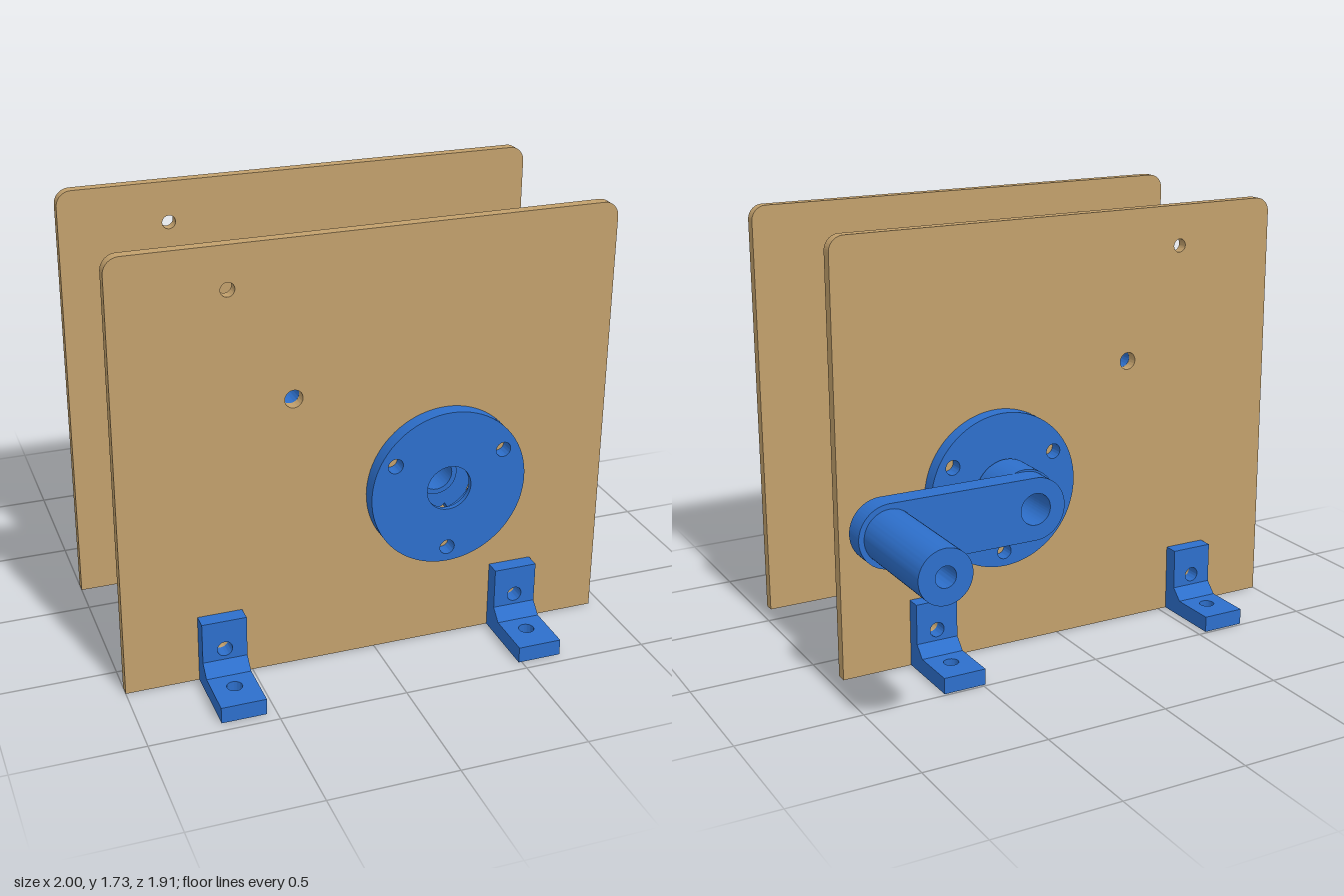
import * as THREE from 'three';
import { toCreasedNormals } from 'three/addons/utils/BufferGeometryUtils.js';

export function createModel() {
  const model = new THREE.Group();
  const blue = new THREE.MeshStandardMaterial({ color: 0x2d6fcb });
  blue.name = 'bluePlastic';
  const tan = new THREE.MeshStandardMaterial({ color: 0xc2a06c });
  tan.name = 'tanWood';

  const axleX = 0.275, axleY = 0.68;      // drive axis
  const pivotX = -0.325, pivotY = 1.115;  // pawl axis
  const midZ = 0.2325;                    // symmetry plane between the plates

  // ---- helpers ----
  const hole = (shape, x, y, r) => {
    shape.holes.push(new THREE.Path().absarc(x, y, r, 0, Math.PI * 2, true));
    return shape;
  };
  const disc = (x, y, r) => new THREE.Shape().absarc(x, y, r, 0, Math.PI * 2, false);
  const ring = (x, y, r, inner) => hole(disc(x, y, r), x, y, inner);
  const polygon = (pts) => new THREE.Shape(pts.map(([x, y]) => new THREE.Vector2(x, y)));

  // extrudes an xy outline between two z values
  const slabGeometry = (shape, z0, z1) => {
    const g = new THREE.ExtrudeGeometry(shape, { depth: z1 - z0, bevelEnabled: false, curveSegments: 40 });
    g.translate(0, 0, z0);
    return toCreasedNormals(g, 0.45);
  };
  const add = (name, geometry, material, parent = model) => {
    const mesh = new THREE.Mesh(geometry, material);
    mesh.name = name;
    parent.add(mesh);
    return mesh;
  };
  const slab = (name, shape, z0, z1, material, parent) =>
    add(name, slabGeometry(shape, z0, z1), material, parent);

  // ---- side plates, bearing flanges and feet: front set, then its mirror ----
  const plateShape = () => {
    const r = 0.06, l = -1, w = 0.95, h = 1.73;
    const s = new THREE.Shape();
    s.moveTo(l, 0);
    s.lineTo(w, 0);
    s.lineTo(w, h - r);
    s.absarc(w - r, h - r, r, 0, Math.PI / 2, false);
    s.lineTo(l + r, h);
    s.absarc(l + r, h - r, r, Math.PI / 2, Math.PI, false);
    s.closePath();
    hole(s, -0.565, 1.565, 0.027);
    hole(s, pivotX, pivotY, 0.035);
    hole(s, axleX, axleY, 0.17);
    for (const x of [-0.625, 0.575]) hole(s, x, 0.155, 0.03);
    return s;
  };
  const flangeShape = () => {
    const s = ring(axleX, axleY, 0.315, 0.155);
    for (const a of [30, 150, 270]) {
      const t = THREE.MathUtils.degToRad(a);
      hole(s, axleX + 0.255 * Math.cos(t), axleY + 0.255 * Math.sin(t), 0.03);
    }
    return s;
  };
  const flangeCapShape = () => {
    const s = flangeShape();
    s.holes[0] = new THREE.Path().absarc(axleX, axleY, 0.09, 0, Math.PI * 2, true);
    return s;
  };

  const sideZ = (side, a, b) => {
    const p = midZ + side * a, q = midZ + side * b;
    return [Math.min(p, q), Math.max(p, q)];
  };
  for (const [side, label] of [[1, 'front'], [-1, 'back']]) {
    const set = new THREE.Group();
    set.name = label + 'Side';
    model.add(set);
    slab(label + 'Plate', plateShape(), ...sideZ(side, 0.378, 0.4225), tan, set);
    // flange with a hollow bearing seat
    slab('flangeBody', flangeShape(), ...sideZ(side, 0.4225, 0.462), blue, set);
    slab('flangeCap', flangeCapShape(), ...sideZ(side, 0.462, 0.4825), blue, set);
    slab('bearingCollar', ring(axleX, axleY, 0.195, 0.155), ...sideZ(side, 0.363, 0.378), blue, set);
    slab('bearingSeat', ring(axleX, axleY, 0.17, 0.155), ...sideZ(side, 0.378, 0.4225), blue, set);

    // angle brackets
    for (const x of [-0.625, 0.575]) {
      const bracket = new THREE.Group();
      bracket.name = 'bracket';
      set.add(bracket);
      const w = 0.0875;
      const wall = polygon([[x - w, 0], [x + w, 0], [x + w, 0.275], [x - w, 0.275]]);
      slab('bracketWall', hole(wall, x, 0.155, 0.03), ...sideZ(side, 0.4225, 0.4825), blue, bracket);
      // foot drawn flat in x and z, then laid down
      const [f0, f1] = sideZ(side, 0.4825, 0.7225);
      const foot = polygon([[x - w, -f1], [x + w, -f1], [x + w, -f0], [x - w, -f0]]);
      hole(foot, x, -(midZ + side * 0.602), 0.03);
      add('bracketFoot', slabGeometry(foot, 0, 0.065).rotateX(-Math.PI / 2), blue, bracket);
      // chamfered inner corner, drawn in z and y
      const c = midZ + side * 0.4825;
      const wedge = polygon([[-c, 0.065], [-c - side * 0.045, 0.065], [-c, 0.11]]);
      add('bracketChamfer', slabGeometry(wedge, x - w, x + w).rotateY(Math.PI / 2), blue, bracket);
    }
  }

  // ---- pawl pivot spacers ----
  slab('backSpacer', ring(pivotX, pivotY, 0.09, 0.035), -0.145, 0.187, blue);
  slab('frontSpacer', ring(pivotX, pivotY, 0.09, 0.035), 0.28, 0.61, blue);

  // ---- pawl: round boss, tail, and a hooked arm resting in a tooth gap ----
  const pawl = new THREE.Shape();
  pawl.moveTo(-0.24, 1.04);
  pawl.lineTo(0.035, 1.085);
  pawl.lineTo(0.1, 0.995);
  pawl.lineTo(0.275, 1.133);
  pawl.lineTo(0.27, 1.17);
  pawl.lineTo(-0.235, 1.19);
  pawl.absarc(pivotX, pivotY, 0.115, 0.7, 2.1, false);
  pawl.lineTo(-0.63, 1.13);
  pawl.absarc(-0.61, 1.085, 0.045, 2.0, 4.5, false);
  pawl.lineTo(-0.41, 1.04);
  pawl.absarc(pivotX, pivotY, 0.115, 3.85, 5.55, false);
  pawl.closePath();
  slab('pawl', hole(pawl, pivotX, pivotY, 0.035), 0.187, 0.276, tan);

  // ---- ratchet wheel with twelve saw teeth ----
  const teeth = [];
  for (let i = 0; i < 12; i++) {
    const t = (i * Math.PI) / 6;
    for (const r of [0.36, 0.45]) teeth.push([axleX + r * Math.cos(t), axleY + r * Math.sin(t)]);
  }
  slab('ratchetWheel', hole(polygon(teeth), axleX, axleY, 0.075), 0.187, 0.28, blue);

  // ---- hollow axle and hubs with a flat for the set screw ----
  slab('axle', ring(axleX, axleY, 0.083, 0.063), -0.13, 0.595, blue);
  const hubShape = (inner) => {
    const a = Math.asin(0.045 / 0.133);
    const s = new THREE.Shape().absarc(axleX, axleY, 0.133, a, Math.PI * 2 - a, false);
    s.closePath();
    return hole(s, axleX, axleY, inner);
  };
  slab('wheelHubFlat', hubShape(0.075), 0.04, 0.155, blue);
  slab('wheelHub', ring(axleX, axleY, 0.133, 0.075), 0.155, 0.187, blue);

  // ---- crank ----
  const crank = new THREE.Group();
  crank.name = 'crank';
  model.add(crank);
  const gripX = 0.875;
  slab('crankHubFlat', hubShape(0.063), -0.38, -0.265, blue, crank);
  slab('crankHub', ring(axleX, axleY, 0.133, 0.063), -0.418, -0.38, blue, crank);
  const arm = new THREE.Shape();
  arm.absarc(gripX, axleY, 0.125, -Math.PI / 2, Math.PI / 2, false);
  arm.absarc(axleX, axleY, 0.125, Math.PI / 2, Math.PI * 1.5, false);
  arm.closePath();
  hole(arm, axleX, axleY, 0.063);
  hole(arm, gripX, axleY, 0.04);
  slab('crankArm', arm, -0.505, -0.418, blue, crank);
  slab('crankGrip', ring(gripX, axleY, 0.104, 0.04), -0.957, -0.505, blue, crank);

  return model;
}
